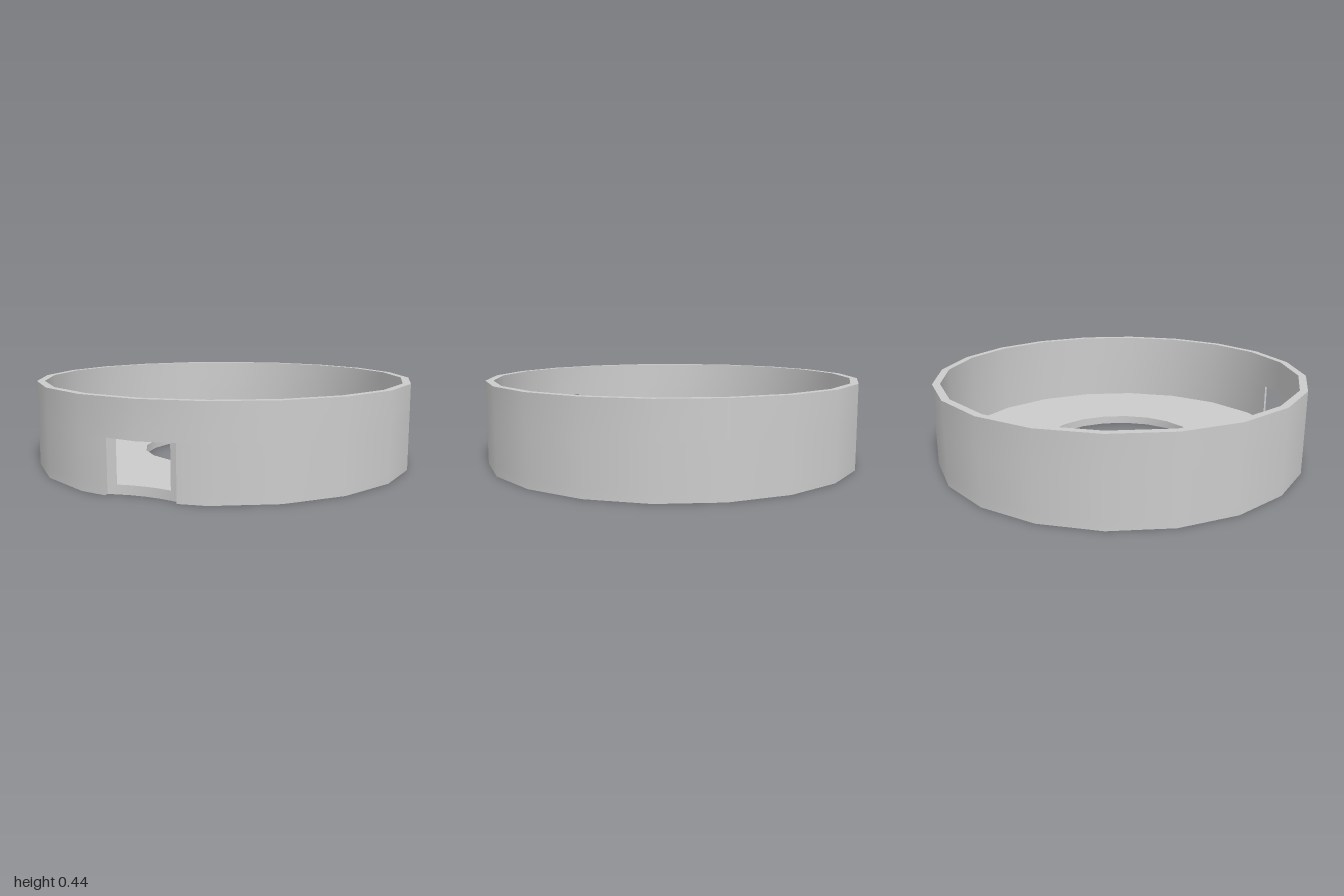
import * as THREE from 'three';
import { mergeGeometries, toCreasedNormals } from 'three/addons/utils/BufferGeometryUtils.js';

const SIDES = 20, HEIGHT = 0.44, FLOOR = 0.045, NOTCH_TOP = 0.26;
const R_OUT = 1, R_IN = 0.96, R_HOLE = 0.44;
const NOTCH_X = 0.175, WINDOW_X = 0.132;

// Plan points are [x, z]; rings run from the front towards +x.
const ring = (r) => Array.from({ length: SIDES }, (_, i) => {
  const a = (i / SIDES) * Math.PI * 2;
  return [r * Math.sin(a), r * Math.cos(a)];
});

// Point on a ring's front edge at a given x
const onFront = (r, x) => [x, r - Math.abs(x) * Math.tan(Math.PI / SIDES)];

// Ring left open at the front between -x and x
const openRing = (r, x) => [onFront(r, x), ...ring(r).slice(1), onFront(r, -x)];

// Shallow curve forming the back of the notch
const curve = (xs) => xs.map((x) => [x, 0.925 + 0.62 - Math.sqrt(0.62 * 0.62 - x * x)]);

// Upright wall along a path, facing the path's right-hand side
function wall(path, y0, y1, closed = true) {
  const pos = [];
  const count = closed ? path.length : path.length - 1;
  for (let i = 0; i < count; i++) {
    const [ax, az] = path[i], [bx, bz] = path[(i + 1) % path.length];
    pos.push(ax, y0, az, bx, y0, bz, bx, y1, bz, ax, y0, az, bx, y1, bz, ax, y1, az);
  }
  const g = new THREE.BufferGeometry();
  g.setAttribute('position', new THREE.Float32BufferAttribute(pos, 3));
  return g;
}

// Level face with an optional hole, facing up or down
function cap(outline, y, up, hole) {
  const toV = ([x, z]) => new THREE.Vector2(x, -z);
  const shape = new THREE.Shape(outline.map(toV));
  if (hole) shape.holes.push(new THREE.Path(hole.map(toV)));
  const g = new THREE.ShapeGeometry(shape).rotateX(-Math.PI / 2).translate(0, y, 0);
  if (!up) g.setIndex(Array.from(g.index.array).reverse());
  const flat = g.toNonIndexed();
  flat.deleteAttribute('uv');
  flat.deleteAttribute('normal');
  return flat;
}

export function createModel() {
  const group = new THREE.Group();
  group.name = 'ringTray';
  const material = new THREE.MeshStandardMaterial({ color: 0xcccccc });
  const add = (name, parts) => {
    const mesh = new THREE.Mesh(toCreasedNormals(mergeGeometries(parts), 0.5), material);
    mesh.name = name;
    group.add(mesh);
  };

  const outer = ring(R_OUT), inner = ring(R_IN), hole = ring(R_HOLE);
  const outerOpen = openRing(R_OUT, NOTCH_X), innerOpen = openRing(R_IN, WINDOW_X);
  const middle = curve([-WINDOW_X, -WINDOW_X / 2, 0, WINDOW_X / 2, WINDOW_X]);
  const [left] = curve([-NOTCH_X]), [right] = curve([NOTCH_X]);
  const base = [...outerOpen, left, ...middle, right];

  // Rim wall: cut by the notch below, a full ring above
  add('rimWall', [
    wall(base, 0, FLOOR),
    wall([middle[4], right, ...outerOpen, left, middle[0]], FLOOR, NOTCH_TOP, false),
    wall(outer, NOTCH_TOP, HEIGHT),
    wall([...innerOpen].reverse(), FLOOR, NOTCH_TOP, false),
    wall([...inner].reverse(), NOTCH_TOP, HEIGHT),
    cap(outer, HEIGHT, true, inner),
  ]);

  // Underside of the rim over the notch and window
  add('notchCeiling', [cap([
    left, onFront(R_OUT, -NOTCH_X), [0, R_OUT], onFront(R_OUT, NOTCH_X),
    right, middle[4], [0, R_IN], middle[0],
  ], NOTCH_TOP, false)]);

  // Floor plate with its round opening
  add('floorPlate', [
    cap(base, 0, false, hole),
    cap([...innerOpen, ...middle.slice(1, -1)], FLOOR, true, hole),
    wall([...hole].reverse(), 0, FLOOR),
  ]);
  return group;
}
